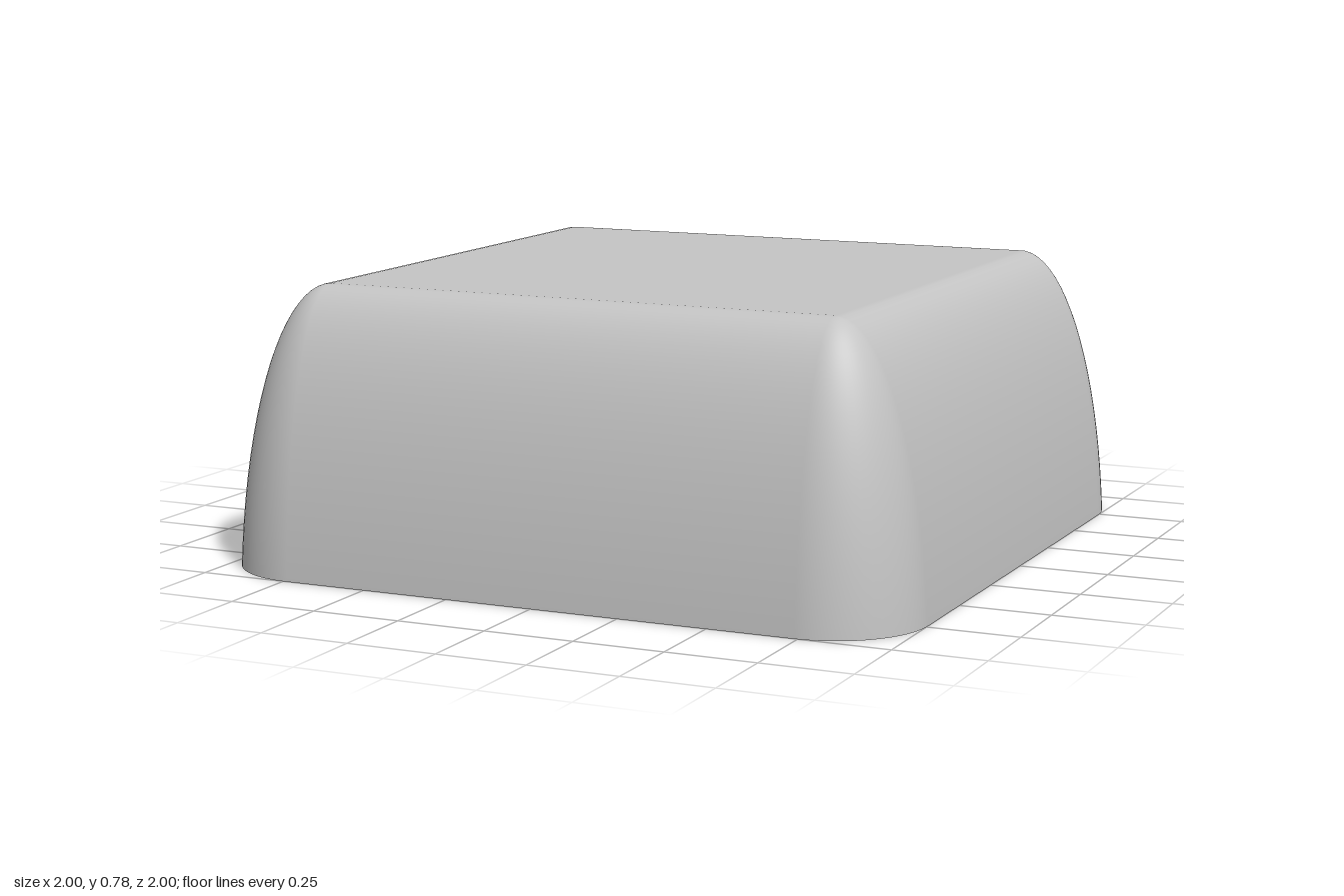
import * as THREE from 'three';

const CORE = 0.74, R = 0.26, H = 0.78;       // flat top half-width, corner radius, height
const OPEN = 0.82, CEIL = 0.65, DEPTH = 0.44; // cavity: half-width at the rim, at the ceiling, depth
const CORNER_STEPS = 16, WALL_STEPS = 20, T0 = 0.17;

// Directions and corner centres around a rounded square
function outline() {
  const pts = [];
  for (let c = 0; c < 4; c++) {
    const mid = (c + 0.5) * Math.PI / 2;
    const cx = Math.sign(Math.cos(mid)) * CORE, cz = Math.sign(Math.sin(mid)) * CORE;
    for (let i = 0; i <= CORNER_STEPS; i++) {
      const a = (c + i / CORNER_STEPS) * Math.PI / 2;
      pts.push({ cx, cz, dx: Math.cos(a), dz: Math.sin(a) });
    }
  }
  pts.push(pts[0]);
  return pts;
}

// Curved outer wall: the outline shrinks along an elliptic profile
function wallGeometry() {
  const ring = outline(), n = ring.length;
  const pos = [], nor = [], idx = [];
  const a = R / Math.cos(T0), b = H / (1 - Math.sin(T0));
  for (let j = 0; j <= WALL_STEPS; j++) {
    const t = T0 + (Math.PI / 2 - T0) * j / WALL_STEPS;
    const off = a * Math.cos(t), y = b * (Math.sin(t) - Math.sin(T0));
    const normal = new THREE.Vector2(Math.cos(t) / a, Math.sin(t) / b).normalize();
    for (const p of ring) {
      pos.push(p.cx + p.dx * off, y, p.cz + p.dz * off);
      nor.push(p.dx * normal.x, normal.y, p.dz * normal.x);
    }
  }
  for (let j = 0; j < WALL_STEPS; j++) {
    for (let i = 0; i < n - 1; i++) {
      const p = j * n + i, q = p + n;
      idx.push(p, q, p + 1, p + 1, q, q + 1);
    }
  }
  const g = new THREE.BufferGeometry();
  g.setAttribute('position', new THREE.Float32BufferAttribute(pos, 3));
  g.setAttribute('normal', new THREE.Float32BufferAttribute(nor, 3));
  g.setIndex(idx);
  return g;
}

function squarePath(s) {
  return new THREE.Path([[-s, -s], [-s, s], [s, s], [s, -s]].map(p => new THREE.Vector2(...p)));
}

// Plus-shaped socket outline
function crossPath(l, w) {
  const quarter = [[l, -w], [l, w], [w, w]];
  const pts = [];
  for (let k = 0; k < 4; k++) {
    for (const [x, y] of quarter) {
      pts.push(new THREE.Vector2(x, y).rotateAround(new THREE.Vector2(), k * Math.PI / 2));
    }
  }
  return new THREE.Path(pts);
}

export function createModel() {
  const group = new THREE.Group();
  const grey = new THREE.MeshStandardMaterial({ color: 0xc4c4c4 });
  grey.name = 'plain grey';
  const add = (name, geometry) => {
    const mesh = new THREE.Mesh(geometry, grey);
    mesh.name = name;
    group.add(mesh);
  };

  // Outer shell
  add('outerWall', wallGeometry());
  add('topFace', new THREE.PlaneGeometry(2 * CORE, 2 * CORE).rotateX(-Math.PI / 2).translate(0, H, 0));

  // Flat rim under the shell
  const rim = new THREE.Shape(outline().slice(0, -1).map(
    p => new THREE.Vector2(p.cx + p.dx * R, p.cz + p.dz * R)));
  rim.holes.push(squarePath(OPEN));
  add('bottomRim', new THREE.ShapeGeometry(rim).rotateX(Math.PI / 2));

  // Tapered cavity, turned to face inwards
  const cavity = new THREE.CylinderGeometry(CEIL * Math.SQRT2, OPEN * Math.SQRT2, DEPTH, 4, 1, true)
    .rotateY(Math.PI / 4).translate(0, DEPTH / 2, 0).scale(-1, 1, 1).toNonIndexed();
  cavity.computeVertexNormals();
  add('cavityWalls', cavity);
  add('cavityCeiling', new THREE.PlaneGeometry(2 * CEIL, 2 * CEIL).rotateX(Math.PI / 2).translate(0, DEPTH, 0));

  // Central stem with the plus-shaped socket
  const stem = new THREE.Shape().absarc(0, 0, 0.31, 0, Math.PI * 2);
  stem.holes.push(crossPath(0.24, 0.075));
  const stemGeometry = new THREE.ExtrudeGeometry(stem, { depth: DEPTH, bevelEnabled: false, curveSegments: 48 });
  // Smooth the round side only
  const p = stemGeometry.attributes.position, nrm = stemGeometry.attributes.normal;
  for (let i = 0; i < p.count; i++) {
    const r = Math.hypot(p.getX(i), p.getY(i));
    if (r > 0.3 && Math.abs(nrm.getZ(i)) < 0.5) nrm.setXYZ(i, p.getX(i) / r, p.getY(i) / r, 0);
  }
  add('stem', stemGeometry.rotateX(Math.PI / 2).translate(0, DEPTH, 0));

  return group;
}
